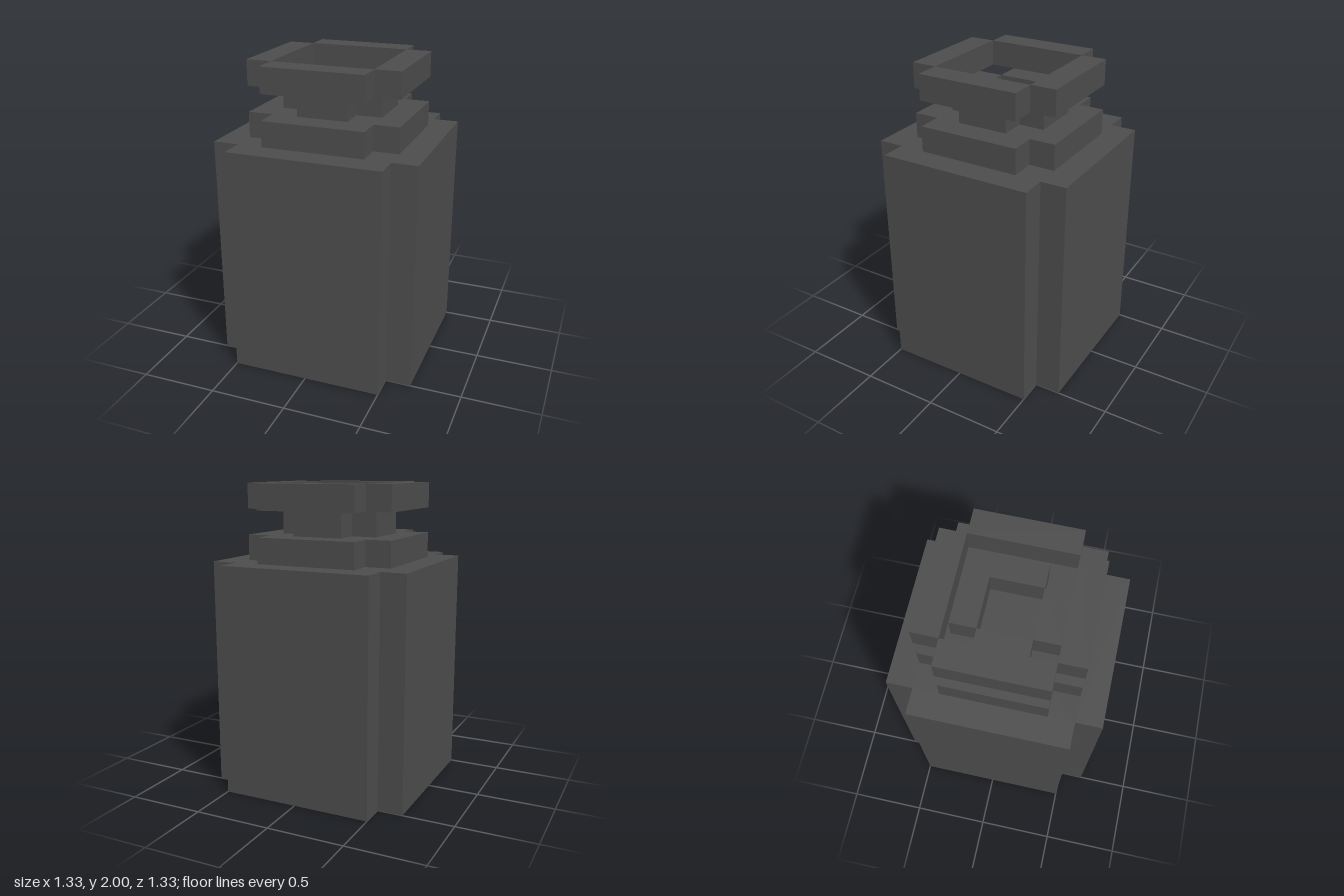
import * as THREE from 'three';

const U = 1 / 6; // one block step

const charcoal = new THREE.MeshStandardMaterial({ color: 0x4c4c4c });
charcoal.name = 'charcoal';

// Solid square slab with one-step notched corners; sizes in block steps
function notchedBlock(name, half, y0, y1) {
  const a = half * U, b = (half - 1) * U;
  const shape = new THREE.Shape([
    [b, -a], [b, -b], [a, -b], [a, b], [b, b], [b, a],
    [-b, a], [-b, b], [-a, b], [-a, -b], [-b, -b], [-b, -a],
  ].map(([x, y]) => new THREE.Vector2(x, y)));
  const geometry = new THREE.ExtrudeGeometry(shape, { depth: (y1 - y0) * U, bevelEnabled: false });
  geometry.rotateX(-Math.PI / 2);
  geometry.translate(0, y0 * U, 0);
  const mesh = new THREE.Mesh(geometry, charcoal);
  mesh.name = name;
  return mesh;
}

// Square ring of four bars that meet only along their corner edges
function barRing(name, half, y0, y1) {
  const ring = new THREE.Group();
  ring.name = name;
  const geometry = new THREE.BoxGeometry(2 * (half - 1) * U, (y1 - y0) * U, U);
  geometry.translate(0, (y0 + y1) / 2 * U, (half - 0.5) * U);
  for (let i = 0; i < 4; i++) {
    const bar = new THREE.Mesh(geometry, charcoal);
    bar.name = name + 'Bar';
    bar.rotation.y = i * Math.PI / 2;
    ring.add(bar);
  }
  return ring;
}

export function createModel() {
  const jar = new THREE.Group();
  jar.name = 'jar';
  jar.add(
    notchedBlock('body', 4, 0, 9),
    notchedBlock('shoulder', 3, 9, 10),
    barRing('neck', 2, 10, 11),
    barRing('rim', 3, 11, 12),
  );
  return jar;
}
